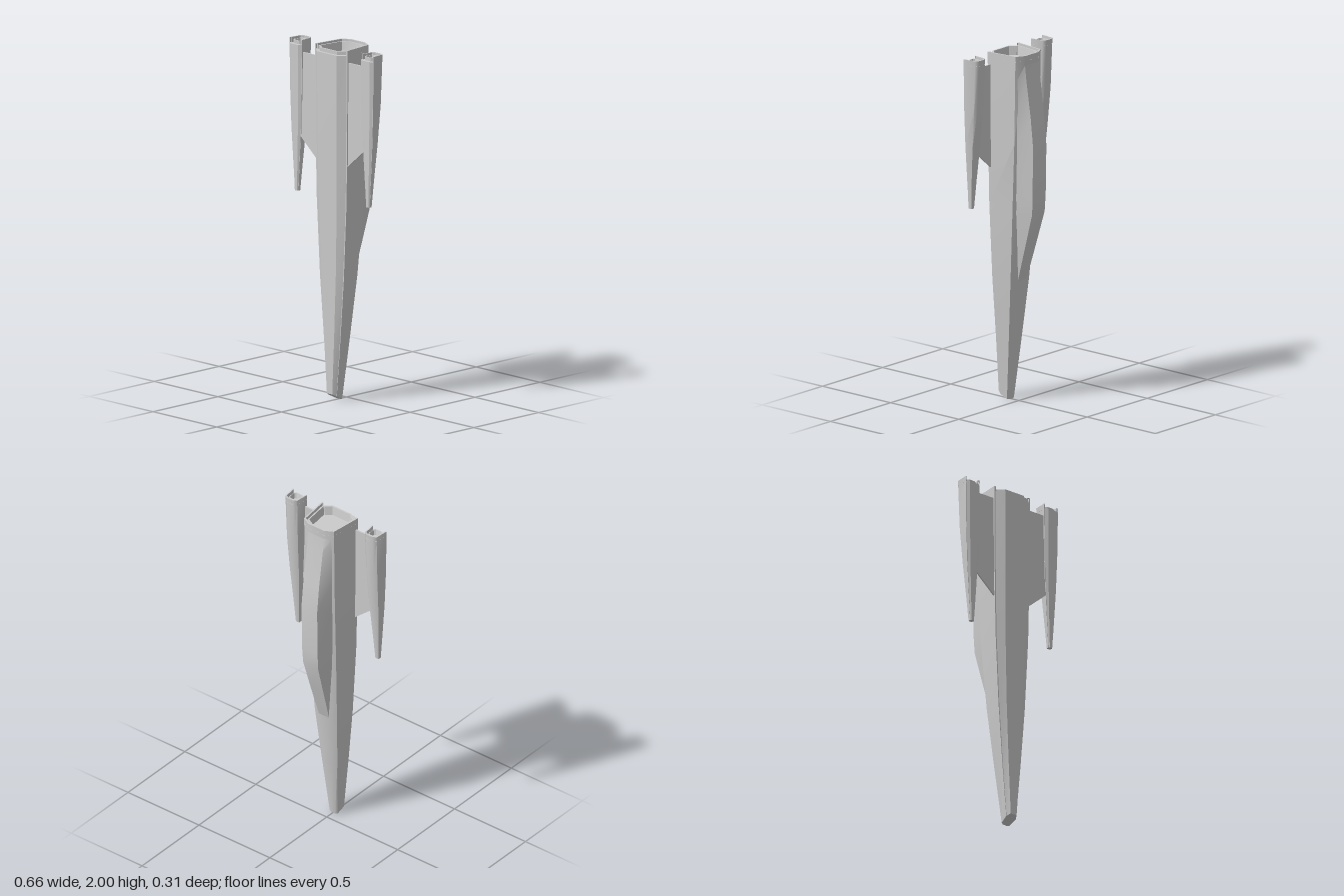
import * as THREE from 'three';
import { toCreasedNormals } from 'three/addons/utils/BufferGeometryUtils.js';

const material = new THREE.MeshStandardMaterial({ color: 0xcccccc, side: THREE.DoubleSide });

// Ten-point section: 0-7 run round the back shell, 7-9 and 0 round the front shell.
function section({ y, w, zf, zm, zb, shear = 0 }, scale = 1, cx = 0, height = y) {
  const zs = zb + 0.13 * (zm - zb);
  const half = [[0.94 * w, zm], [w, zm], [0.83 * w, zs], [0.43 * w, zb]];
  const mirror = half.map(([x, z]) => [-x, z]).reverse();
  const cz = (zf + zb) / 2;
  return [...half, ...mirror, [-0.6 * w, zf], [0.6 * w, zf]].map(([x, z]) =>
    [cx + x * scale, height + shear * (z - zb), cz + (z - cz) * scale]);
}

// Skin between successive rings of equal length.
function loft(name, rings, { closed = false, capStart = false, capEnd = false, crease = 0.5 } = {}) {
  const n = rings[0].length, index = [];
  for (let r = 0; r < rings.length - 1; r++) {
    for (let i = 0; i < (closed ? n : n - 1); i++) {
      const a = r * n + i, b = r * n + (i + 1) % n;
      index.push(a, b, b + n, a, b + n, a + n);
    }
  }
  const last = (rings.length - 1) * n;
  for (let i = 1; i < n - 1; i++) {
    if (capStart) index.push(0, i + 1, i);
    if (capEnd) index.push(last, last + i, last + i + 1);
  }
  const geometry = new THREE.BufferGeometry();
  geometry.setAttribute('position', new THREE.Float32BufferAttribute(rings.flat(2), 3));
  geometry.setIndex(index);
  const mesh = new THREE.Mesh(toCreasedNormals(geometry, crease), material);
  mesh.name = name;
  return mesh;
}

// Tapered body with a two-part shell, closed nose and stepped exhaust.
function body(name, stations, cx, [lip, outer, inner, floor], depth) {
  const group = new THREE.Group();
  group.name = name;
  const top = stations[stations.length - 1];
  const ledge = 1.97;
  const rings = stations.map(s => section(s, 1, cx));
  const back = ring => ring.slice(0, 8);
  const front = ring => [ring[7], ring[8], ring[9], ring[0]];
  const at = (scale, y) => section(top, scale, cx, y);

  group.add(loft('backShell', rings.map(back), { crease: 0.95 }));
  group.add(loft('frontShell', [...rings.slice(0, -1), at(1, ledge)].map(front)));
  group.add(loft('nose', [rings[0], rings[0]], { closed: true, capStart: true }));
  // raised rim of the back shell
  group.add(loft('rim', [at(1, 2), at(lip, 2), at(lip, ledge)].map(back)));
  // stepped exhaust opening with recessed floor
  group.add(loft('exhaust', [at(1, ledge), at(outer, ledge), at(outer, 1.99), at(inner, 1.99),
    at(floor, 1.99 - depth)], { closed: true, capEnd: true }));
  return group;
}

export function createModel() {
  const model = new THREE.Group();

  model.add(body('hull', [
    { y: 0, w: 0.035, zf: 0.13, zm: 0.108, zb: 0.055, shear: 0.53 },
    { y: 0.36, w: 0.066, zf: 0.134, zm: 0.11, zb: 0.013 },
    { y: 0.7, w: 0.094, zf: 0.138, zm: 0.112, zb: -0.025 },
    { y: 1.13, w: 0.117, zf: 0.144, zm: 0.114, zb: -0.062 },
    { y: 1.5, w: 0.124, zf: 0.149, zm: 0.116, zb: -0.083 },
    { y: 2, w: 0.127, zf: 0.153, zm: 0.117, zb: -0.095 },
  ], 0, [0.93, 0.87, 0.8, 0.74], 0.05));

  // Raised spine on the back: y, base half-width, crest half-width, base z, crest z
  const spine = [
    [0.69, 0.042, 0.036, 0.0, -0.023],
    [0.9, 0.062, 0.045, -0.01, -0.085],
    [1.1, 0.08, 0.052, -0.03, -0.143],
    [1.2, 0.084, 0.055, -0.04, -0.148],
    [1.48, 0.09, 0.055, -0.06, -0.153],
    [1.65, 0.092, 0.055, -0.065, -0.135],
    [1.87, 0.094, 0.055, -0.07, -0.102],
    [1.95, 0.095, 0.055, -0.07, -0.093],
  ].map(([y, b, c, zb, zc]) => [[b, y, zb], [c, y, zc], [-c, y, zc], [-b, y, zb]]);
  model.add(loft('spine', spine, { closed: true, capStart: true, capEnd: true, crease: 0.6 }));

  const podStations = [
    { y: 1.14, w: 0.014, zf: 0.115, zm: 0.108, zb: 0.09 },
    { y: 1.3, w: 0.025, zf: 0.118, zm: 0.11, zb: 0.077 },
    { y: 1.5, w: 0.038, zf: 0.122, zm: 0.112, zb: 0.058 },
    { y: 1.72, w: 0.046, zf: 0.125, zm: 0.114, zb: 0.038 },
    { y: 2, w: 0.05, zf: 0.128, zm: 0.115, zb: 0.026 },
  ];
  const wingShape = side => new THREE.Shape([[0.1, 1.93], [0.26, 1.93], [0.26, 1.46], [0.1, 1.325]]
    .map(([x, y]) => new THREE.Vector2(side * x, y)));

  // Side pods and the thin wings that carry them
  for (const [label, side] of [['left', 1], ['right', -1]]) {
    model.add(body(label + 'Pod', podStations, side * 0.28, [0.85, 0.64, 0.56, 0.42], 0.03));
    const wing = new THREE.Mesh(
      new THREE.ExtrudeGeometry(wingShape(side), { depth: 0.009, bevelEnabled: false }), material);
    wing.name = label + 'Wing';
    wing.position.z = 0.099;
    model.add(wing);
  }
  return model;
}
